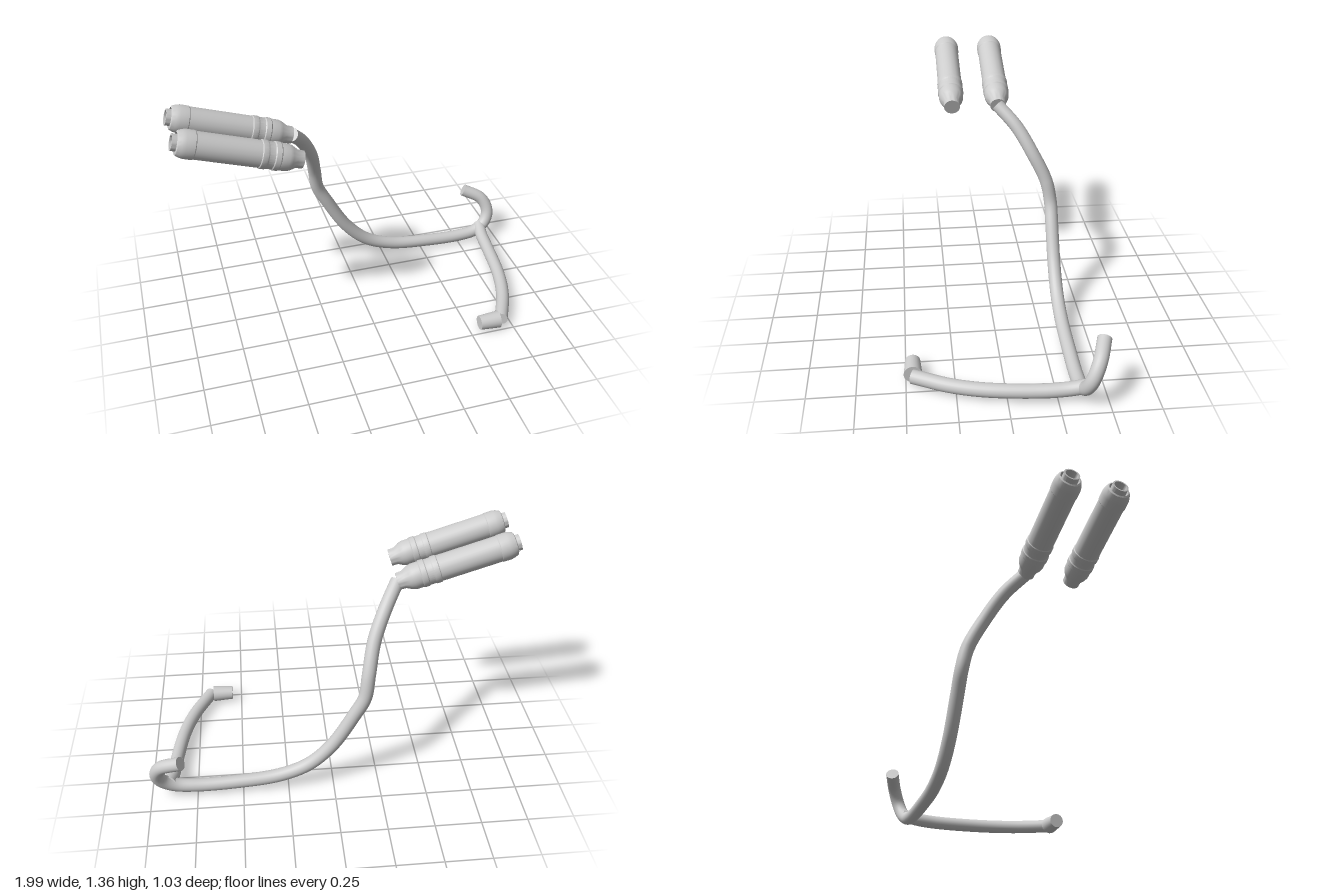
import * as THREE from 'three';
import { toCreasedNormals } from 'three/addons/utils/BufferGeometryUtils.js';

export function createModel() {
  const group = new THREE.Group();
  const metal = new THREE.MeshStandardMaterial({ color: 0xcccccc, side: THREE.DoubleSide });
  metal.name = 'grey metal';

  // Bent pipe through a few points, closed with a disc at each end
  function pipe(name, points, radius, segments) {
    const part = new THREE.Group();
    part.name = name;
    const curve = new THREE.CatmullRomCurve3(points.map(p => new THREE.Vector3(...p)), false, 'centripetal');
    const tube = new THREE.Mesh(new THREE.TubeGeometry(curve, segments, radius, 24), metal);
    tube.name = name + 'Tube';
    part.add(tube);
    for (const [t, sign] of [[0, -1], [1, 1]]) {
      const cap = new THREE.Mesh(new THREE.CircleGeometry(radius, 24), metal);
      cap.name = name + 'Cap';
      cap.position.copy(curve.getPointAt(t));
      cap.lookAt(cap.position.clone().addScaledVector(curve.getTangentAt(t), sign));
      part.add(cap);
    }
    group.add(part);
  }

  // Long header pipe, from the upper silencer down and round to the hooked end
  pipe('headerPipe', [
    [-0.36, 1.115, -0.075], [-0.285, 1.01, -0.175], [-0.22, 0.87, -0.26], [-0.185, 0.71, -0.337],
    [-0.165, 0.585, -0.362], [-0.11, 0.475, -0.364], [0.01, 0.275, -0.364], [0.14, 0.15, -0.364],
    [0.3, 0.086, -0.364], [0.54, 0.058, -0.364], [0.76, 0.053, -0.364], [0.87, 0.07, -0.368],
    [0.935, 0.115, -0.383], [0.958, 0.18, -0.405], [0.925, 0.258, -0.44], [0.815, 0.315, -0.482],
  ], 0.037, 120);

  // Branch pipe running forward from the junction
  pipe('branchPipe', [
    [0.9, 0.095, -0.385], [0.885, 0.073, -0.3], [0.874, 0.062, -0.185], [0.835, 0.056, 0.085],
    [0.78, 0.054, 0.27], [0.685, 0.054, 0.465],
  ], 0.037, 48);

  // Flared stub at the end of the branch
  const stub = new THREE.Mesh(new THREE.CylinderGeometry(0.04, 0.048, 0.115, 24), metal);
  stub.name = 'branchStub';
  stub.rotation.z = Math.PI / 2;
  stub.position.set(0.612, 0.054, 0.462);
  group.add(stub);

  // Silencer profile: hollow tip, rounded shell, raised bands, tapered inlet
  const profile = [
    [0, 0.1], [0.034, 0.1], [0.034, 0], [0.042, 0], [0.042, 0.06], [0.05, 0.06], [0.052, 0.022],
    [0.06, 0.026], [0.068, 0.045], [0.072, 0.065], [0.072, 0.108], [0.069, 0.112],
    [0.069, 0.432], [0.073, 0.436], [0.073, 0.462], [0.069, 0.468], [0.069, 0.498],
    [0.073, 0.503], [0.073, 0.528], [0.069, 0.533], [0.069, 0.572], [0.063, 0.592],
    [0.047, 0.622], [0.045, 0.656], [0, 0.656],
  ].map(([r, y]) => new THREE.Vector2(r, y));
  const silencerShape = toCreasedNormals(new THREE.LatheGeometry(profile, 36), 0.6);
  for (const [name, z] of [['frontSilencer', 0.183], ['rearSilencer', -0.078]]) {
    const silencer = new THREE.Mesh(silencerShape, metal);
    silencer.name = name;
    silencer.position.set(-0.985, 1.31, z);
    silencer.rotation.z = -THREE.MathUtils.degToRad(107.6);
    group.add(silencer);
  }
  return group;
}
